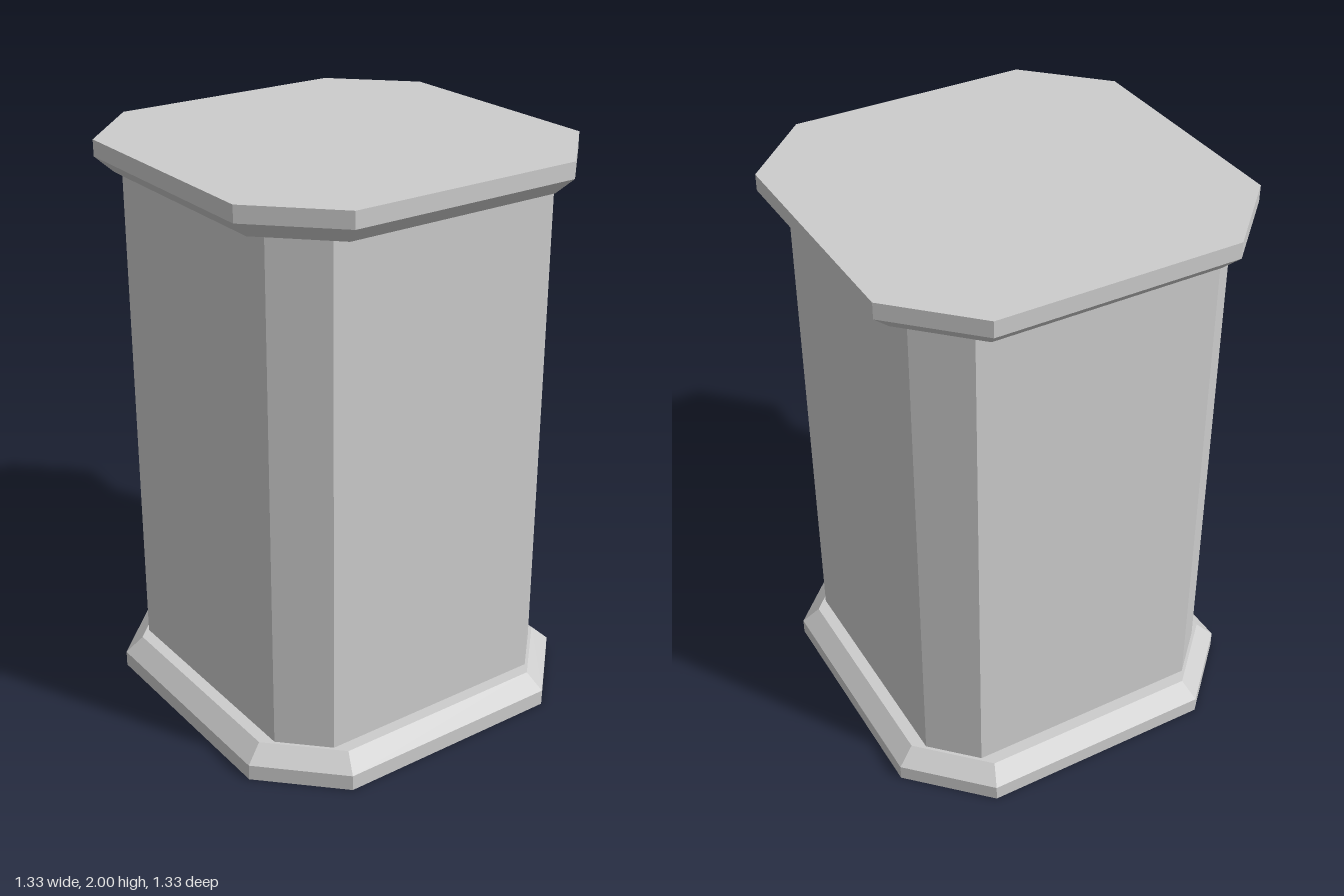
import * as THREE from 'three';

// Chamfered square outline: half width h, chamfer corner at c, height y
function octagon([h, c, y]) {
  return [[h, c], [h, -c], [c, -h], [-c, -h], [-h, -c], [-h, c], [-c, h], [c, h]]
    .map(([x, z]) => [x, y, z]);
}

// Closed solid through chamfered square sections, listed bottom to top
function octagonSolid(sections) {
  const rings = sections.map(octagon);
  const bottom = rings[0], top = rings[rings.length - 1];
  const pos = [];
  const tri = (...points) => points.forEach((p) => pos.push(...p));
  for (let i = 0; i < 8; i++) {
    const j = (i + 1) % 8;
    for (let k = 0; k < rings.length - 1; k++) {
      const lo = rings[k], hi = rings[k + 1];
      tri(lo[i], lo[j], hi[j]);
      tri(lo[i], hi[j], hi[i]);
    }
    tri([0, top[0][1], 0], top[i], top[j]);
    tri([0, bottom[0][1], 0], bottom[j], bottom[i]);
  }
  const geometry = new THREE.BufferGeometry();
  geometry.setAttribute('position', new THREE.Float32BufferAttribute(pos, 3));
  geometry.computeVertexNormals();
  return geometry;
}

export function createModel() {
  const group = new THREE.Group();
  group.name = 'pedestal';
  const stone = new THREE.MeshStandardMaterial({ color: 0xcccccc });
  stone.name = 'grey stone';

  const add = (name, sections) => {
    const mesh = new THREE.Mesh(octagonSolid(sections), stone);
    mesh.name = name;
    group.add(mesh);
  };

  // Bevelled slab at the foot, mirrored for the cap
  const slab = [[0.666, 0.418, 0], [0.666, 0.418, 0.056], [0.608, 0.394, 0.112]];
  add('base', slab);
  add('cap', slab.map(([h, c, y]) => [h, c, 2 - y]).reverse());

  // Chamfered shaft between them
  add('shaft', [[0.565, 0.422, 0.1], [0.565, 0.422, 1.9]]);

  return group;
}
